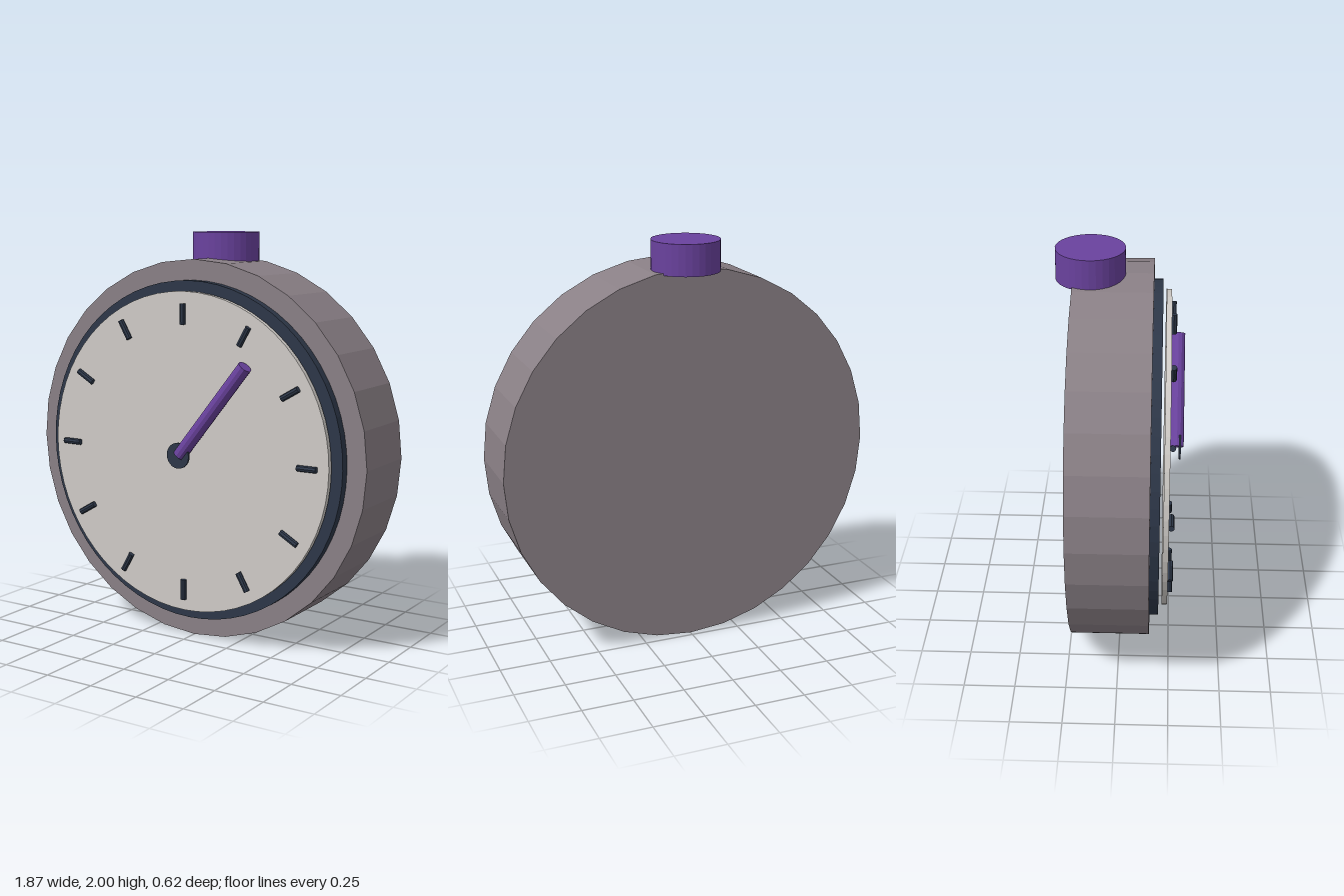
import * as THREE from 'three';

const CENTRE_Y = 0.937;

function material(name, color) {
  const m = new THREE.MeshStandardMaterial({ color, flatShading: true });
  m.name = name;
  return m;
}

export function createModel() {
  const model = new THREE.Group();
  model.name = 'stopwatch';

  const caseGrey = material('warm grey', 0x8a8086);
  const navy = material('dark navy', 0x2d3748);
  const ivory = material('ivory', 0xcfcbc7);
  const purple = material('purple', 0x6a429e);

  function add(name, geometry, mat) {
    const mesh = new THREE.Mesh(geometry, mat);
    mesh.name = name;
    model.add(mesh);
    return mesh;
  }

  // Disc facing the front, between two depths
  function disc(name, radius, back, front, sides, mat) {
    const g = new THREE.CylinderGeometry(radius, radius, front - back, sides);
    g.rotateX(Math.PI / 2);
    const mesh = add(name, g, mat);
    mesh.position.set(0, CENTRE_Y, (back + front) / 2);
    return mesh;
  }

  // Round bar lying along the dial, at a clockwise angle from twelve
  function bar(name, angle, inner, outer, radius, sides, z, mat) {
    const g = new THREE.CylinderGeometry(radius, radius, outer - inner, sides);
    g.translate(0, (inner + outer) / 2, 0);
    const mesh = add(name, g, mat);
    mesh.position.set(0, CENTRE_Y, z);
    mesh.rotation.z = -angle;
    return mesh;
  }

  // Case, bezel and dial
  disc('case', 0.937, -0.225, 0.152, 32, caseGrey);
  disc('bezel', 0.837, 0.152, 0.196, 64, navy);
  disc('dial', 0.788, 0.212, 0.238, 64, ivory);

  // Hour markers
  for (let i = 0; i < 12; i++) {
    bar('hourMarker' + (i + 1), (i * Math.PI) / 6, 0.63, 0.73, 0.015, 8, 0.249, navy);
  }

  // Hand and its hub cap
  bar('hand', Math.atan2(0.365, 0.453), 0, 0.582, 0.034, 12, 0.277, purple);
  disc('hub', 0.063, 0.286, 0.296, 24, navy);

  // Crown button on top
  const crown = add('crown', new THREE.CylinderGeometry(0.165, 0.165, 0.15, 32), purple);
  crown.position.set(0, 1.925, -0.145);

  return model;
}
